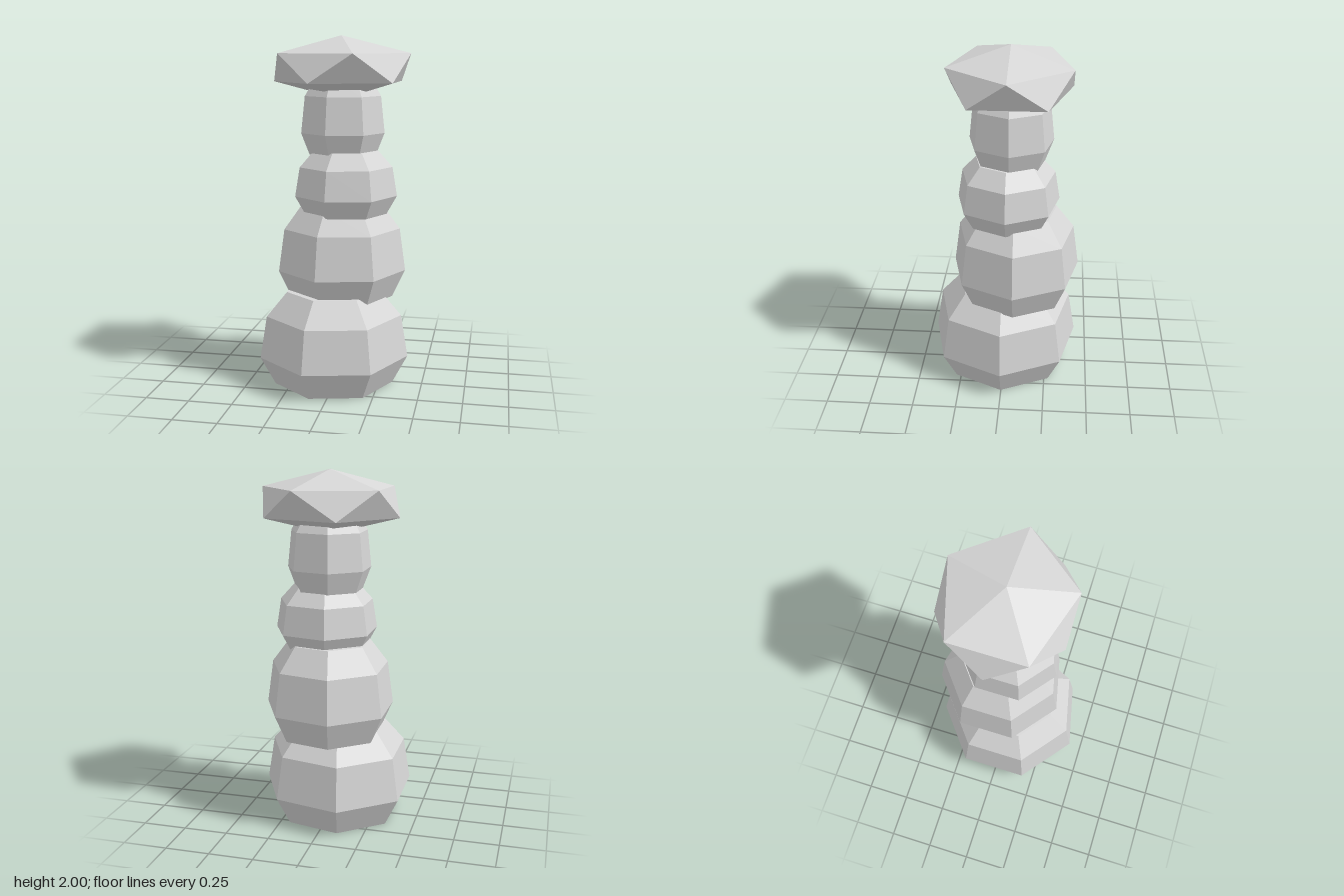
import * as THREE from 'three';
import { ConvexGeometry } from 'three/addons/geometries/ConvexGeometry.js';

const stone = new THREE.MeshStandardMaterial({ color: 0xd6d6d6, flatShading: true });
stone.name = 'pale grey stone';

// Seven-sided bevelled boulder with one corner pointing to +x
function boulder(name, x, z, radius, heights) {
  const ratios = [0.802, 1, 0.908, 0.634];
  const points = [
    new THREE.Vector2(0, heights[0]),
    ...heights.map((y, i) => new THREE.Vector2(radius * ratios[i], y)),
    new THREE.Vector2(0, heights[3]),
  ];
  const mesh = new THREE.Mesh(new THREE.LatheGeometry(points, 7, Math.PI / 2), stone);
  mesh.name = name;
  mesh.position.set(x, 0, z);
  return mesh;
}

// Flattened icosahedron standing on its pole
function capStone() {
  const points = [new THREE.Vector3(0, 0.177, 0), new THREE.Vector3(0, -0.177, 0)];
  for (let i = 0; i < 5; i++) {
    const a = (i * Math.PI * 2) / 5;
    const x = 0.391 * Math.cos(a), z = 0.356 * Math.sin(a);
    points.push(new THREE.Vector3(x, 0.079, z), new THREE.Vector3(-x, -0.079, -z));
  }
  const mesh = new THREE.Mesh(new ConvexGeometry(points), stone);
  mesh.name = 'capStone';
  mesh.position.set(0.015, 1.823, -0.035);
  return mesh;
}

export function createModel() {
  const group = new THREE.Group();
  group.name = 'stoneStack';
  group.add(
    boulder('baseStone', -0.024, 0.002, 0.438, [0, 0.165, 0.41, 0.548]),
    boulder('secondStone', 0.011, -0.066, 0.375, [0.503, 0.663, 0.908, 1.045]),
    boulder('thirdStone', 0.042, -0.023, 0.296, [1, 1.105, 1.27, 1.36]),
    boulder('fourthStone', 0.021, -0.038, 0.241, [1.338, 1.46, 1.667, 1.775]),
    capStone(),
  );
  return group;
}
